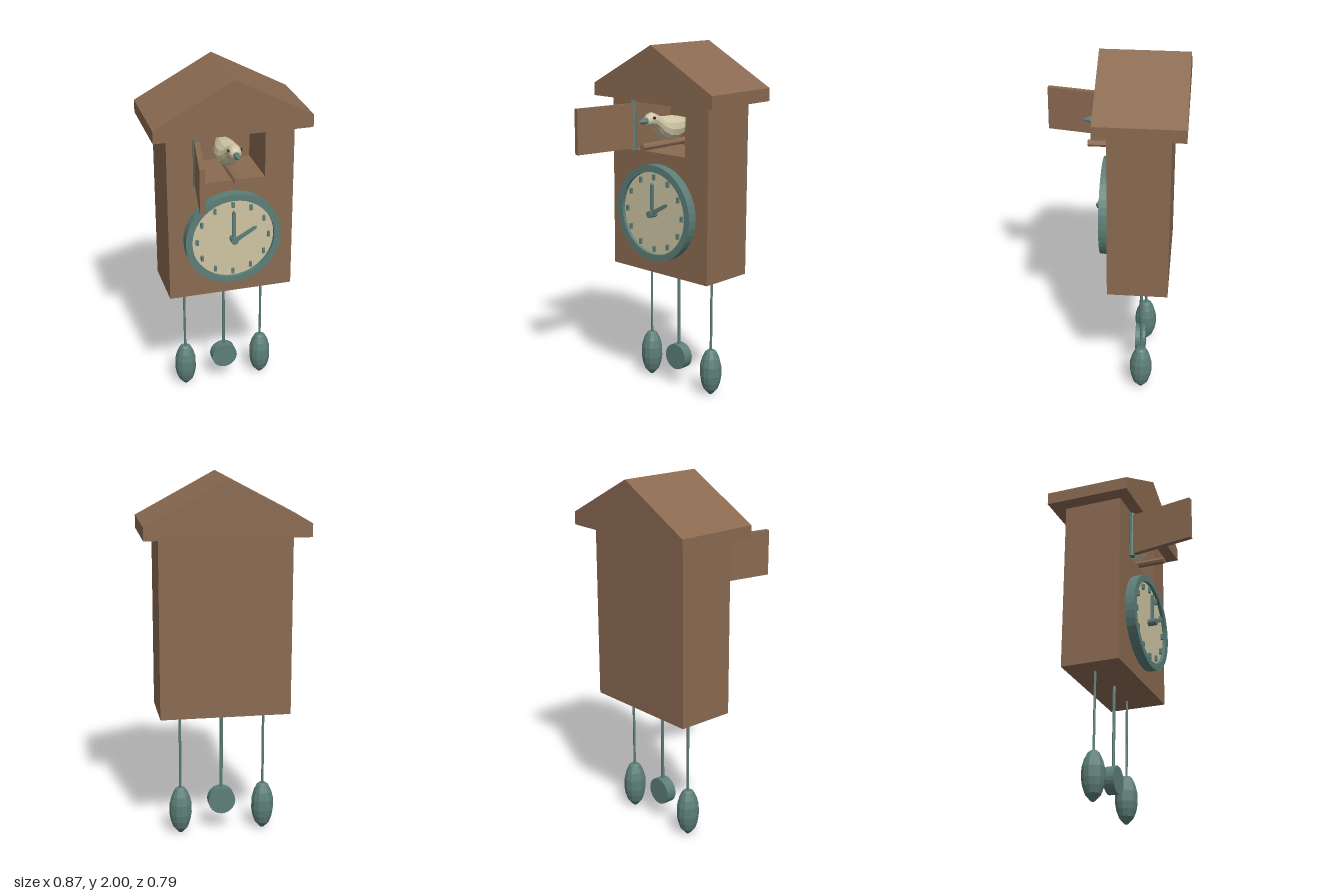
import * as THREE from 'three';

const mat = (name, color, flatShading = false) => {
  const m = new THREE.MeshStandardMaterial({ color, flatShading });
  m.name = name;
  return m;
};

export function createModel() {
  const wood = mat('brown wood', 0x8a6a51, true);
  const teal = mat('teal metal', 0x5c7e78, true);
  const cream = mat('cream', 0xcfc5a4, true);
  const dark = mat('dark eye', 0x252b2d, true);
  const root = new THREE.Group();
  root.name = 'cuckooClock';

  const add = (name, geo, material, x = 0, y = 0, z = 0, parent = root) => {
    const m = new THREE.Mesh(geo, material);
    m.name = name;
    m.position.set(x, y, z);
    parent.add(m);
    return m;
  };
  const box = (w, h, d) => new THREE.BoxGeometry(w, h, d);
  const rod = (r, len, n = 8) => new THREE.CylinderGeometry(r, r, len, n);
  const disc = (r, len, n = 32) => rod(r, len, n).rotateX(Math.PI / 2);
  const shape = pts => new THREE.Shape(pts.map(p => new THREE.Vector2(...p)));
  const extrude = (s, depth, curveSegments = 16) =>
    new THREE.ExtrudeGeometry(s, { depth, bevelEnabled: false, curveSegments });
  const lathe = (pts, n) => new THREE.LatheGeometry(pts.map(p => new THREE.Vector2(...p)), n);

  // Case with the bird's doorway cut through to a closed back
  const front = shape([[-0.355, 0.72], [0.355, 0.72], [0.355, 1.696], [-0.355, 1.696]]);
  front.holes.push(new THREE.Path(
    [[-0.192, 1.408], [-0.192, 1.675], [0.192, 1.675], [0.192, 1.408]].map(p => new THREE.Vector2(...p))));
  add('case', extrude(front, 0.3), wood, 0, 0, -0.288);
  add('caseBack', box(0.71, 0.976, 0.03), wood, 0, 1.208, -0.303);

  // Gabled roof
  const gable = shape([[-0.437, 1.696], [0.437, 1.696], [0.437, 1.767], [0, 2], [-0.437, 1.767]]);
  add('roof', extrude(gable, 0.475), wood, 0, 0, -0.395);

  // Open door and its hinge
  const door = new THREE.Group();
  door.name = 'door';
  door.position.set(-0.189, 1.541, 0.012);
  door.rotation.y = -0.175;
  root.add(door);
  add('doorPanel', box(0.028, 0.25, 0.383), wood, 0, 0, 0.1915, door);
  add('hinge', rod(0.019, 0.275, 10), teal, -0.193, 1.5425, 0.02);

  // Dial, hour marks and hands
  const cy = 1.076;
  const ring = new THREE.Shape().absarc(0, 0, 0.272, 0, Math.PI * 2);
  ring.holes.push(new THREE.Path().absarc(0, 0, 0.234, 0, Math.PI * 2, true));
  add('dialRim', extrude(ring, 0.055, 20), teal, 0, cy, 0.011);
  add('dialFace', disc(0.236, 0.036, 40), cream, 0, cy, 0.029);
  for (let i = 0; i < 12; i++) {
    const a = i * Math.PI / 6;
    add('hourMark', box(0.015, 0.031, 0.014), teal, Math.sin(a) * 0.204, cy + Math.cos(a) * 0.204, 0.053);
  }
  const hand = (name, len, w, z, angle) => {
    const s = shape([[-w, 0], [w, 0], [w * 0.8, len - 0.012], [0, len], [-w * 0.8, len - 0.012]]);
    add(name, extrude(s, 0.012), teal, 0, cy, z).rotation.z = angle;
  };
  hand('minuteHand', 0.175, 0.011, 0.064, 0);
  hand('hourHand', 0.145, 0.011, 0.079, -Math.PI / 3);
  add('handHub', disc(0.02, 0.05, 12), teal, 0, cy, 0.071);

  // Perch
  add('perch', disc(0.019, 0.4, 8), wood, 0, 1.457, -0.055);

  // Bird: round sections [radius, z, centre height] from tail to head
  const sections = [
    [0, -0.24, 1.56], [0.016, -0.238, 1.56], [0.04, -0.18, 1.55], [0.06, -0.13, 1.542],
    [0.069, -0.08, 1.54], [0.067, -0.03, 1.543], [0.053, 0.01, 1.56], [0.042, 0.04, 1.587],
    [0.038, 0.07, 1.603], [0.033, 0.098, 1.601], [0.022, 0.113, 1.598], [0, 0.115, 1.598]];
  const bird = lathe(sections, 12).rotateX(Math.PI / 2);
  const pos = bird.attributes.position;
  for (let i = 0; i < pos.count; i++) pos.setY(i, pos.getY(i) + sections[i % sections.length][2]);
  add('birdBody', bird, cream);
  const beak = lathe([[0.019, 0], [0.017, 0.026], [0.01, 0.046], [0, 0.068]], 8).rotateX(Math.PI / 2);
  add('beak', beak, teal, 0, 1.597, 0.108);
  for (const s of [-1, 1]) add('eye', new THREE.SphereGeometry(0.009, 8, 6), dark, s * 0.033, 1.614, 0.083);

  // Hanging weights
  const weight = [[0, 0], [0.012, 0.006], [0.042, 0.04], [0.056, 0.08], [0.063, 0.12],
    [0.062, 0.18], [0.05, 0.225], [0.032, 0.262], [0.02, 0.272], [0, 0.272]];
  for (const s of [-1, 1]) {
    add('weight', lathe(weight, 12), teal, s * 0.233, 0, -0.172);
    add('weightChain', rod(0.007, 0.47), teal, s * 0.233, 0.5, -0.172);
  }

  // Pendulum
  add('pendulumRod', rod(0.009, 0.51), teal, 0, 0.48, -0.156);
  add('pendulumBob', disc(0.076, 0.06, 24), teal, 0, 0.181, -0.156);

  return root;
}
